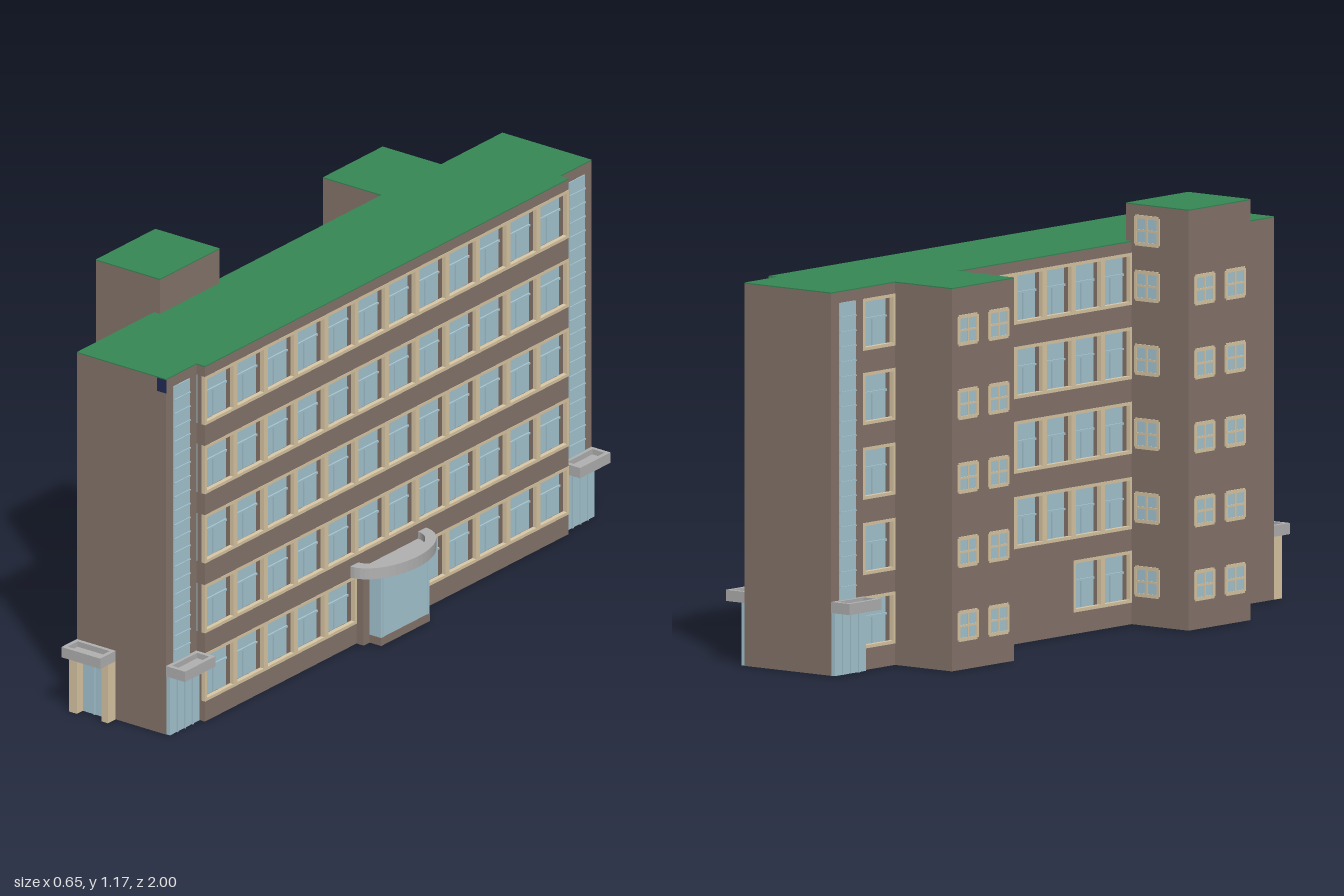
import * as THREE from 'three';

const mat = (color, side = THREE.FrontSide) => new THREE.MeshStandardMaterial({ color, side });
const brown = mat(0x87766c), cream = mat(0xdcc9a6), glass = mat(0xa8c8d4);
const green = mat(0x368856), grey = mat(0xb2b2b2), navy = mat(0x222c55);

const TOP = 1.065;
const SILLS = [0.06, 0.265, 0.475, 0.683, 0.89];
const WIN_H = 0.145;

export function createModel() {
  const model = new THREE.Group();
  model.name = 'officeBuilding';

  const group = (name) => {
    const g = new THREE.Group();
    g.name = name;
    model.add(g);
    return g;
  };
  // Box between two opposite corners, given in any order
  const box = (parent, name, m, xa, xb, ya, yb, za, zb) => {
    const geo = new THREE.BoxGeometry(Math.abs(xb - xa), Math.abs(yb - ya), Math.abs(zb - za));
    const mesh = new THREE.Mesh(geo, m);
    mesh.position.set((xa + xb) / 2, (ya + yb) / 2, (za + zb) / 2);
    mesh.name = name;
    parent.add(mesh);
    return mesh;
  };

  // Main block
  const walls = group('walls');
  box(walls, 'core', brown, -0.09, 0.19, 0, TOP, -0.998, 0.93);

  // One storey of windows: recessed glass, brown piers, cream frames
  // x = back plane, s = outward direction along x
  function windowRow(parent, x, s, y, z0, z1, n) {
    const step = (z1 - z0) / n, y1 = y + WIN_H;
    const mid = x + s * 0.018, out = x + s * 0.031, e = 0.009;
    box(parent, 'glass', glass, x, x + s * 0.004, y, y1, z0, z1);
    box(parent, 'sill', cream, mid, out, y, y + e, z0, z1);
    box(parent, 'head', cream, mid, out, y1 - e, y1, z0, z1);
    for (let i = 0; i <= n; i++) {
      const z = z0 + i * step;
      const a = Math.max(z - e, z0), b = Math.min(z + e, z1);
      box(parent, 'pier', brown, x, mid, y, y1, a, b);
      box(parent, 'jamb', cream, mid, out, y + e, y1 - e, a, b);
      if (i === n) break;
      const c = z + step / 2;
      box(parent, 'mullion', glass, x, x + s * 0.009, y, y + WIN_H * 0.55, c - 0.003, c + 0.003);
      box(parent, 'transom', glass, x, x + s * 0.009, y + WIN_H * 0.55, y + WIN_H * 0.59, z + e, z + step - e);
    }
  }
  // Solid bands below, between and above the window rows
  function bands(parent, x, s, z0, z1) {
    for (let i = 0; i <= SILLS.length; i++) {
      const a = i ? SILLS[i - 1] + WIN_H : 0;
      box(parent, 'wallBand', brown, x, x + s * 0.03, a, i < 5 ? SILLS[i] : TOP, z0, z1);
    }
  }

  // Street facade with a gap for the entrance on the ground floor
  const F0 = -0.855, F1 = 0.793, W = (F1 - F0) / 12;
  const facade = group('streetFacade');
  bands(facade, 0.19, 1, F0, F1);
  SILLS.forEach((y, i) => {
    if (i) return windowRow(facade, 0.19, 1, y, F0, F1, 12);
    windowRow(facade, 0.19, 1, y, F0, F0 + 5 * W, 5);
    windowRow(facade, 0.19, 1, y, F0 + 7 * W, F1, 5);
  });

  // Rear facade: window bays between solid walls
  const rear = group('rearFacade');
  [[-0.998, -0.86], [-0.72, -0.45], [0.31, 0.65], [0.79, 0.93]].forEach(([a, b]) =>
    box(rear, 'solidWall', brown, -0.09, -0.12, 0, TOP, a, b));
  [[-0.86, -0.72, 1], [-0.45, 0.31, 6], [0.65, 0.79, 1]].forEach(([a, b, n]) => {
    bands(rear, -0.09, -1, a, b);
    SILLS.forEach((y, i) => {
      if (i || n === 1) windowRow(rear, -0.09, -1, y, a, b, n);
      else {
        box(rear, 'solidWall', brown, -0.09, -0.12, y, y + WIN_H, a, 0.057);
        windowRow(rear, -0.09, -1, y, 0.057, b, 2);
      }
    });
  });

  // Small four-pane tower window; dir is its outward axis
  function towerWindow(parent, x, y, z, ry) {
    const g = new THREE.Group();
    g.name = 'towerWindow';
    const w = 0.04, h = 0.038;
    box(g, 'pane', glass, -w, w, -h, h, 0, 0.001);
    [-1, 0, 1].forEach((k) => {
      const t = k ? 0.005 : 0.003;
      box(g, 'upright', cream, k * w - t, k * w + t, -h, h, 0, 0.003);
      box(g, 'rail', cream, -w, w, k * h - t, k * h + t, 0, 0.0032);
    });
    g.position.set(x, y, z);
    g.rotation.y = ry;
    parent.add(g);
  }

  // Rear stair towers
  const roof = group('roof');
  [[-0.72, -0.45, TOP], [0.31, 0.58, 1.17]].forEach(([a, b, top], t) => {
    const tower = group('stairTower');
    box(tower, 'towerWalls', brown, -0.323, -0.1, 0, top, a, b);
    box(roof, 'towerRoof', green, -0.323, -0.1, top, top + 0.003, a, b);
    for (let i = 0; i < 5; i++) {
      const y = 0.122 + i * 0.206;
      towerWindow(tower, -0.323, y, a + 0.068, -Math.PI / 2);
      towerWindow(tower, -0.323, y, b - 0.068, -Math.PI / 2);
      towerWindow(tower, -0.175, y, t ? a : b, t ? Math.PI : 0);
    }
    if (t) towerWindow(tower, -0.175, 1.1, a, Math.PI);
  });

  // Flat roof
  box(roof, 'mainRoof', green, -0.12, 0.19, TOP, TOP + 0.003, -0.998, 0.93);
  box(roof, 'facadeRoof', green, 0.19, 0.22, TOP, TOP + 0.003, F0, F1);

  // Canopy tray with a raised rim
  function canopy(parent, x0, x1, z0, z1) {
    const r = 0.012;
    box(parent, 'canopySlab', grey, x0, x1, 0.175, 0.19, z0, z1);
    [[x0, x0 + r, z0, z1], [x1 - r, x1, z0, z1], [x0 + r, x1 - r, z0, z0 + r], [x0 + r, x1 - r, z1 - r, z1]]
      .forEach(([a, b, c, d]) => box(parent, 'canopyRim', grey, a, b, 0.19, 0.206, c, d));
  }

  // Glazed stair strips above side doors
  [[0.19, 1, 0.793, 0.93], [0.19, 1, -0.998, -0.86], [-0.12, -1, -0.998, -0.86]].forEach(([x, s, a, b]) => {
    const g = group('glazedStair');
    const c = (a + b) / 2, w = 0.036;
    box(g, 'stairGlass', glass, x, x + s * 0.003, 0.2, 1.035, c - w, c + w);
    for (let i = 1; i < 20; i++) {
      const y = 0.2 + i * 0.0418;
      box(g, 'stairTransom', glass, x, x + s * 0.006, y - 0.002, y + 0.002, c - w, c + w);
    }
    box(g, 'sideDoorGlass', glass, x, x + s * 0.012, 0, 0.175, a + 0.002, b - 0.002);
    [0.25, 0.5, 0.75].forEach((k) => {
      const z = a + k * (b - a);
      box(g, 'doorMullion', glass, x, x + s * 0.016, 0, 0.175, z - 0.002, z + 0.002);
    });
    canopy(g, Math.min(x, x + s * 0.066), Math.max(x, x + s * 0.066), a, b);
  });

  // End entrance on the front
  const door = group('endEntrance');
  box(door, 'leftPillar', cream, -0.12, -0.093, 0, 0.175, 0.93, 0.965);
  box(door, 'rightPillar', cream, -0.008, 0.015, 0, 0.175, 0.93, 0.965);
  box(door, 'doorGlass', glass, -0.093, -0.008, 0, 0.16, 0.93, 0.938);
  box(door, 'doorLintel', brown, -0.093, -0.008, 0.16, 0.175, 0.93, 0.94);
  box(door, 'doorMullion', glass, -0.053, -0.049, 0, 0.16, 0.93, 0.942);
  canopy(door, -0.12, 0.015, 0.93, 1.0);

  // Main entrance
  const entry = group('mainEntrance');
  const mid = -0.031;
  box(entry, 'entranceWall', brown, 0.19, 0.245, 0, 0.208, mid - 0.137, mid + 0.137);
  box(entry, 'entranceBase', brown, 0.245, 0.285, 0, 0.024, mid - 0.11, mid + 0.11);
  box(entry, 'entranceGlass', glass, 0.245, 0.284, 0.024, 0.21, mid - 0.11, mid + 0.11);
  [-0.1, 0.1].forEach((k) =>
    box(entry, 'entranceMullion', glass, 0.28, 0.286, 0.024, 0.21, mid + k - 0.002, mid + k + 0.002));

  // Half-elliptical canopy: slab plus curved rim
  const half = (a, b) => {
    const pts = [];
    for (let i = 0; i <= 24; i++) {
      const t = -Math.PI / 2 + (i / 24) * Math.PI;
      pts.push(new THREE.Vector2(b * Math.cos(t), a * Math.sin(t)));
    }
    return pts;
  };
  const addCurved = (name, shape, y, h) => {
    const geo = new THREE.ExtrudeGeometry(shape, { depth: h, bevelEnabled: false });
    geo.rotateX(-Math.PI / 2);
    const m = new THREE.Mesh(geo, grey);
    m.position.set(0.22, y, mid - 0.006);
    m.name = name;
    entry.add(m);
  };
  addCurved('curvedCanopySlab', new THREE.Shape(half(0.171, 0.105)), 0.208, 0.012);
  addCurved('curvedCanopyRim', new THREE.Shape([...half(0.171, 0.105), ...half(0.135, 0.077).reverse()]), 0.22, 0.021);

  // Plain corner plate
  box(model, 'cornerPlate', navy, 0.16, 0.192, 1.026, TOP, 0.93, 0.933);

  return model;
}
